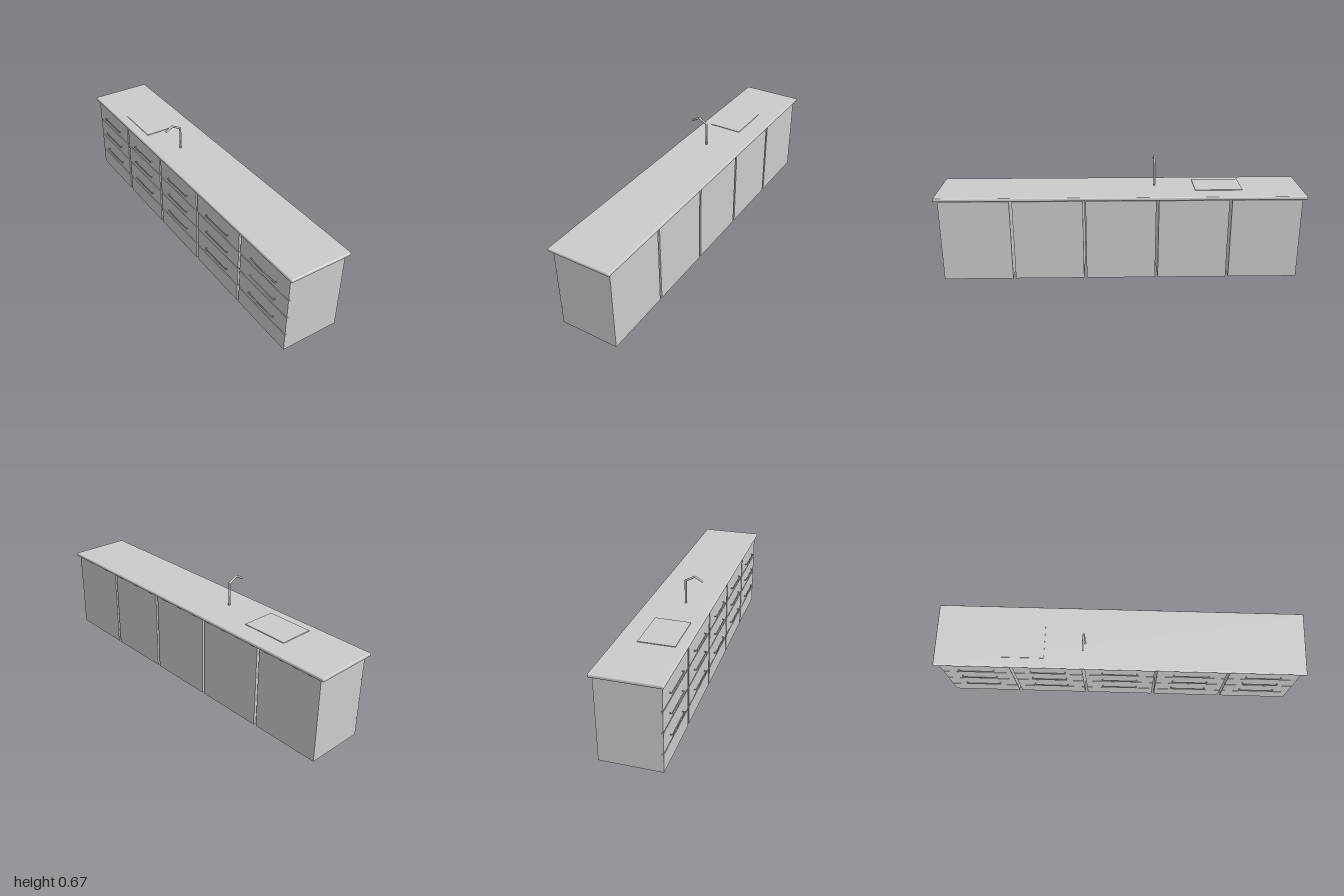
import * as THREE from 'three';
import { RoundedBoxGeometry } from 'three/addons/geometries/RoundedBoxGeometry.js';

const material = new THREE.MeshStandardMaterial({ color: 0xcccccc });

function add(parent, name, geometry, x = 0, y = 0, z = 0) {
  const mesh = new THREE.Mesh(geometry, material);
  mesh.name = name;
  mesh.position.set(x, y, z);
  parent.add(mesh);
  return mesh;
}

// Round bar between two points
function rod(parent, name, a, b, radius) {
  const from = new THREE.Vector3(...a);
  const to = new THREE.Vector3(...b);
  const dir = to.clone().sub(from);
  const mesh = add(parent, name, new THREE.CylinderGeometry(radius, radius, dir.length(), 16));
  mesh.position.copy(from).add(to).multiplyScalar(0.5);
  mesh.quaternion.setFromUnitVectors(new THREE.Vector3(0, 1, 0), dir.normalize());
  return mesh;
}

// Drawer pull: a bar on two short posts, origin on the drawer face
function createHandle() {
  const handle = new THREE.Group();
  handle.name = 'handle';
  const half = 0.103, reach = 0.0115, r = 0.0033;
  rod(handle, 'handleBar', [-half, 0, reach], [half, 0, reach], r);
  for (const s of [-1, 1]) {
    rod(handle, 'handlePost', [s * (half - r), 0, 0], [s * (half - r), 0, reach], r);
  }
  return handle;
}

// One cabinet: carcass, three drawers with handles and a plain base panel
function createCabinet() {
  const cabinet = new THREE.Group();
  cabinet.name = 'cabinet';
  const width = 0.397, height = 0.474, depth = 0.33, panel = 0.008;
  add(cabinet, 'carcass', new THREE.BoxGeometry(width, height, depth), 0, height / 2, -panel / 2);
  const face = (depth + panel) / 2;
  const fronts = [
    [0, 0.104, null],
    [0.110, 0.224, 0.152],
    [0.230, 0.340, 0.274],
    [0.346, 0.474, 0.387],
  ];
  for (const [y0, y1, handleY] of fronts) {
    add(cabinet, handleY ? 'drawerFront' : 'basePanel',
      new THREE.BoxGeometry(width, y1 - y0, panel), 0, (y0 + y1) / 2, face - panel / 2);
    if (handleY) {
      const handle = createHandle();
      handle.position.set(0, handleY, face);
      cabinet.add(handle);
    }
  }
  return cabinet;
}

// Angular tap: upright, rising arm and falling spout
function createTap() {
  const tap = new THREE.Group();
  tap.name = 'tap';
  const r = 0.0058;
  const path = [[0, 0.499, 0], [0, 0.634, 0], [0, 0.661, 0.052], [0, 0.636, 0.096]];
  const names = ['tapPost', 'tapArm', 'tapSpout'];
  names.forEach((name, i) => rod(tap, name, path[i], path[i + 1], r));
  for (const p of path.slice(1, 3)) add(tap, 'tapJoint', new THREE.SphereGeometry(r, 16, 12), ...p);
  return tap;
}

export function createModel() {
  const model = new THREE.Group();
  model.name = 'kitchenCounter';

  // The whole counter stands at an angle in plan
  const unit = new THREE.Group();
  unit.name = 'counterUnit';
  unit.rotation.y = -THREE.MathUtils.degToRad(60.2);
  model.add(unit);

  // Row of cabinets with narrow gaps between them
  for (let i = 0; i < 5; i++) {
    const cabinet = createCabinet();
    cabinet.position.x = (i - 2) * 0.4125;
    unit.add(cabinet);
  }

  // Worktop with softened edges
  add(unit, 'worktop', new RoundedBoxGeometry(2.095, 0.02, 0.367, 3, 0.007), 0, 0.489, 0);

  // Thin sink plate, slightly proud of the worktop
  add(unit, 'sinkPlate', new THREE.BoxGeometry(0.272, 0.006, 0.197), -0.563, 0.5, 0.029);

  const tap = createTap();
  tap.position.set(-0.199, 0, 0.03);
  unit.add(tap);

  return model;
}
